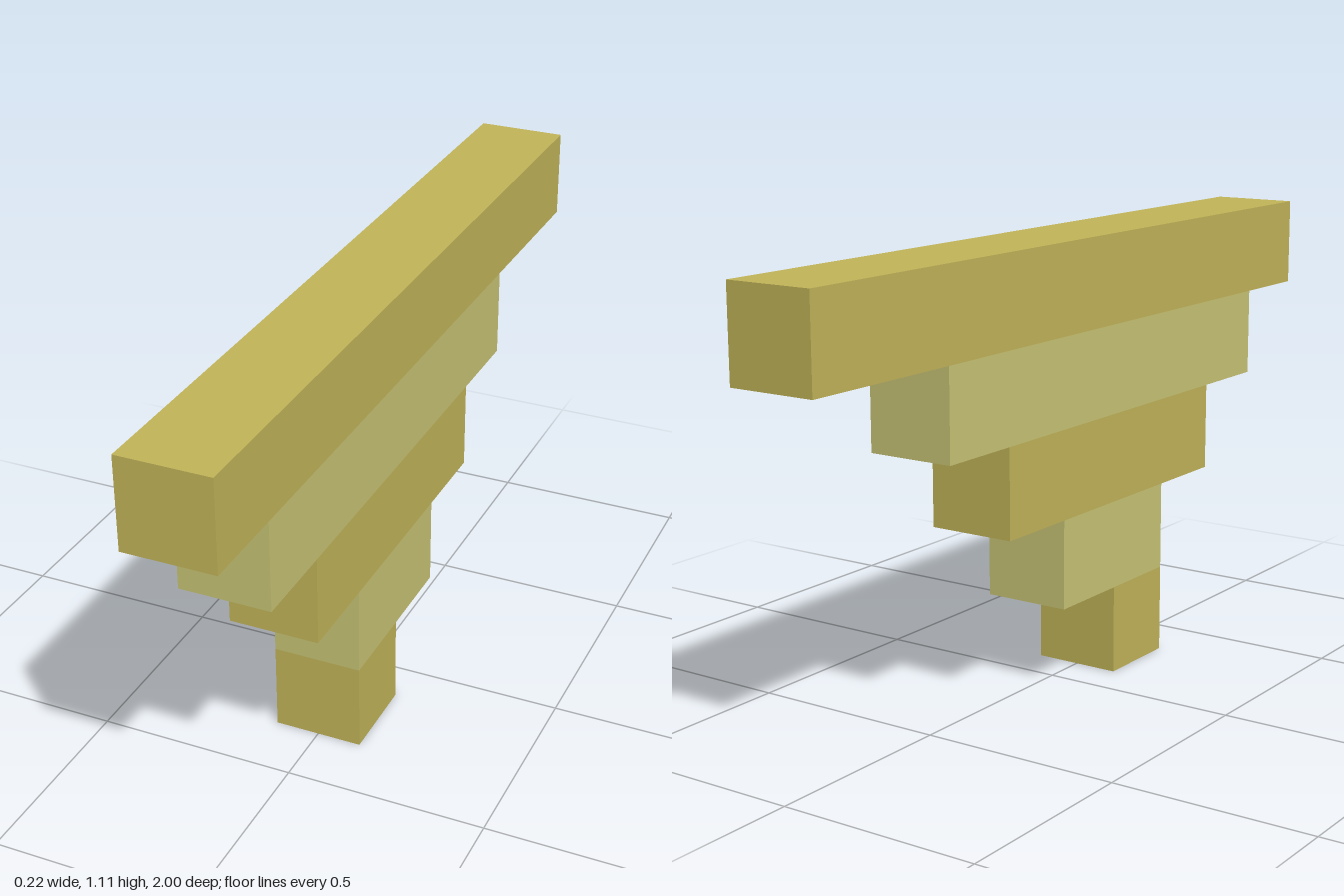
import * as THREE from 'three';

// Edge length of one block; the top beam is nine blocks long
const U = 2 / 9;

export function createModel() {
  const group = new THREE.Group();
  group.name = 'steppedBracket';

  const gold = new THREE.MeshStandardMaterial({ color: 0xc4b65a });
  gold.name = 'gold';
  const paleGreen = new THREE.MeshStandardMaterial({ color: 0xcac677 });
  paleGreen.name = 'pale green';

  // Courses from the foot up: back and front ends along z, in blocks
  const courses = [
    ['foot', 0.5, 1.5],
    ['lowerCourse', -0.5, 1.5],
    ['middleCourse', -1.5, 2.5],
    ['upperCourse', -2.5, 3.5],
    ['topBeam', -4.5, 4.5],
  ];

  courses.forEach(([name, back, front], i) => {
    const geometry = new THREE.BoxGeometry(U, U, (front - back) * U);
    const mesh = new THREE.Mesh(geometry, i % 2 ? paleGreen : gold);
    mesh.name = name;
    mesh.position.set(0, (i + 0.5) * U, ((back + front) / 2) * U);
    group.add(mesh);
  });

  return group;
}
